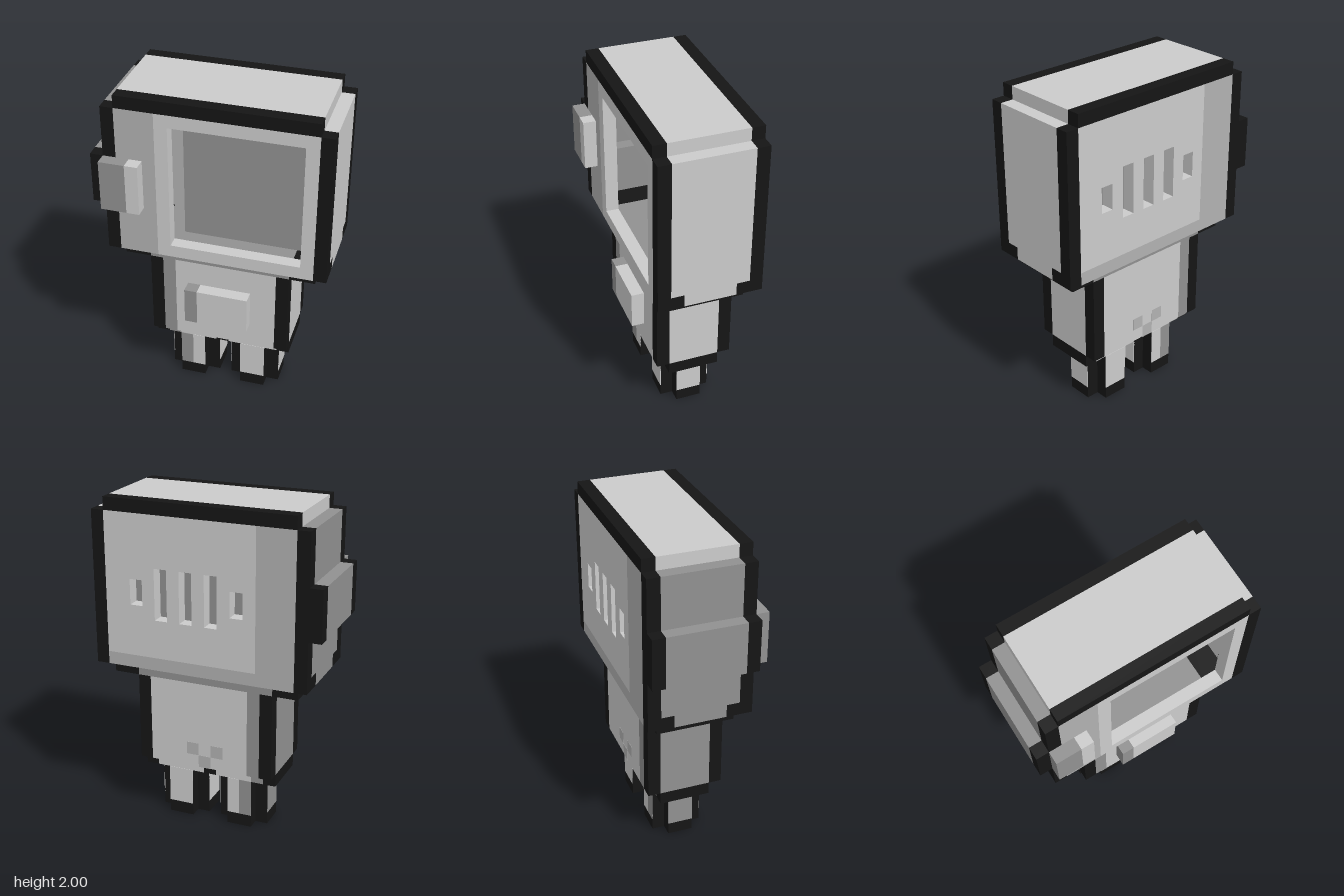
import * as THREE from 'three';

const U = 1 / 13; // one block: the figure is 26 blocks tall
const make = (color) => new THREE.MeshStandardMaterial({ color });
const LIGHT = make(0xcccccc), MID = make(0xb1b1b1), DARK = make(0x919191), BLACK = make(0x151515);

// Box from block ranges [from, to] on each axis
function block(parent, name, [x0, x1], [y0, y1], [z0, z1], material) {
  const geo = new THREE.BoxGeometry((x1 - x0) * U, (y1 - y0) * U, (z1 - z0) * U);
  const mesh = new THREE.Mesh(geo, material);
  mesh.position.set(((x0 + x1) / 2 - 9) * U, ((y0 + y1) / 2) * U, ((z0 + z1) / 2 - 4.5) * U);
  mesh.name = name;
  parent.add(mesh);
}

// Upright wall with rectangular holes, each [x0, x1, y0, y1]
function wall(parent, name, [x0, x1], [y0, y1], [z0, z1], holes, material) {
  const rect = (P, a, b, c, d) => {
    const p = new P();
    p.moveTo(a, c).lineTo(b, c).lineTo(b, d).lineTo(a, d).closePath();
    return p;
  };
  const shape = rect(THREE.Shape, x0, x1, y0, y1);
  for (const h of holes) shape.holes.push(rect(THREE.Path, ...h));
  const geo = new THREE.ExtrudeGeometry(shape, { depth: z1 - z0, bevelEnabled: false });
  geo.translate(-9, 0, z0 - 4.5).scale(U, U, U);
  const mesh = new THREE.Mesh(geo, material);
  mesh.name = name;
  parent.add(mesh);
}

function part(root, name) {
  const g = new THREE.Group();
  g.name = name;
  root.add(g);
  return g;
}

function buildHead(root) {
  const head = part(root, 'head');
  // Roof with black front and back rims
  block(head, 'roof', [2, 17], [25, 26], [1, 7], LIGHT);
  for (const z of [0, 7]) {
    block(head, 'roofRim', [2, 17], [25, 26], [z, z + 1], BLACK);
    for (const x of [1, 17]) block(head, 'cornerPost', [x, x + 1], [13, 25], [z, z + 1], BLACK);
  }
  // Left side, and right side with an opening behind the ear
  block(head, 'leftSide', [17, 18], [14, 25], [1, 7], LIGHT);
  block(head, 'rightSideUpper', [1, 2], [21, 25], [1, 7], DARK);
  block(head, 'rightSideLower', [1, 2], [14, 17], [1, 7], DARK);
  for (const [x, m] of [[1, DARK], [17, LIGHT]]) {
    block(head, 'sideFoot', [x, x + 1], [13, 14], [2, 6], m);
    for (const z of [1, 6]) block(head, 'sideCorner', [x, x + 1], [13, 14], [z, z + 1], BLACK);
  }
  // Front frame around the deep screen
  block(head, 'frontShade', [2, 5], [13, 25], [7, 8], MID);
  wall(head, 'screenFrame', [5, 17], [13, 25], [7, 8], [[6, 16, 14, 24]], LIGHT);
  block(head, 'screen', [6, 16], [13, 25], [1, 4.5], DARK);
  // Back with five vents
  block(head, 'backShade', [2, 5], [13, 25], [0, 1], MID);
  block(head, 'backFoot', [5, 17], [13, 14], [0, 1], MID);
  const vents = [6, 8, 10, 12, 14].map((x) => {
    const short = x === 6 || x === 14;
    return [x, x + 1, short ? 18 : 17, short ? 20 : 21];
  });
  wall(head, 'ventedBack', [5, 17], [14, 25], [0, 1], vents, LIGHT);
  // Ear block and the button in front of it
  block(head, 'ear', [0, 1], [17, 21], [1, 7], DARK);
  for (const z of [0, 7]) block(head, 'earRim', [0, 1], [17, 21], [z, z + 1], BLACK);
  block(head, 'buttonShade', [1, 3], [17, 21], [8, 9], DARK);
  block(head, 'button', [3, 4], [17, 21], [8, 9], LIGHT);
  // Plate under the head
  block(head, 'neck', [4, 15], [12, 13], [1, 7], DARK);
  for (const x of [2, 15]) block(head, 'neckEnd', [x, x + 2], [12, 13], [1, 7], BLACK);
}

function buildBody(root) {
  const body = part(root, 'body');
  block(body, 'torsoShade', [5, 6], [5, 12], [1, 7], DARK);
  block(body, 'torso', [6, 14], [5, 12], [1, 7], LIGHT);
  for (const [x, m] of [[4, DARK], [14, LIGHT]]) {
    block(body, 'torsoSide', [x, x + 1], [5, 12], [2, 6], m);
    for (const z of [1, 6]) block(body, 'torsoCorner', [x, x + 1], [5, 12], [z, z + 1], BLACK);
  }
  // Chest box
  block(body, 'chestBoxShade', [7, 8], [7, 10], [7, 8], DARK);
  block(body, 'chestBox', [8, 12], [7, 10], [7, 8], LIGHT);
  // Small marks low on the back
  for (const [x, y] of [[10, 6], [9, 5], [8, 6]]) {
    block(body, 'backMark', [x, x + 1], [y, y + 1], [0.98, 1.1], MID);
  }
  // Hips
  const hips = [[4, 5, BLACK], [5, 6, DARK], [6, 9, LIGHT], [9, 10, BLACK], [10, 14, LIGHT], [14, 15, BLACK]];
  for (const [a, b, m] of hips) block(body, 'hip', [a, b], [4, 5], [2, 6], m);
}

// Leg with a plus-shaped section and grey panels on its four faces
function buildLeg(root, name, x, shade) {
  const leg = part(root, name);
  const e = 0.03;
  block(leg, 'legCore', [x + 1, x + 3], [0, 4], [2, 6], BLACK);
  block(leg, 'legCross', [x, x + 4], [0, 4], [3, 5], BLACK);
  for (const z of [2, 6]) {
    block(leg, 'legPanel', [x + 1, x + 2], [1, 4], [z - e, z + e], shade);
    block(leg, 'legPanel', [x + 2, x + 3], [1, 4], [z - e, z + e], LIGHT);
  }
  for (const sx of [x, x + 4]) {
    block(leg, 'legSidePanel', [sx - e, sx + e], [1, 4], [3, 5], sx === x ? shade : LIGHT);
  }
}

export function createModel() {
  const root = new THREE.Group();
  root.name = 'blockFigure';
  buildHead(root);
  buildBody(root);
  buildLeg(root, 'rightLeg', 5, DARK);
  buildLeg(root, 'leftLeg', 10, LIGHT);
  return root;
}
